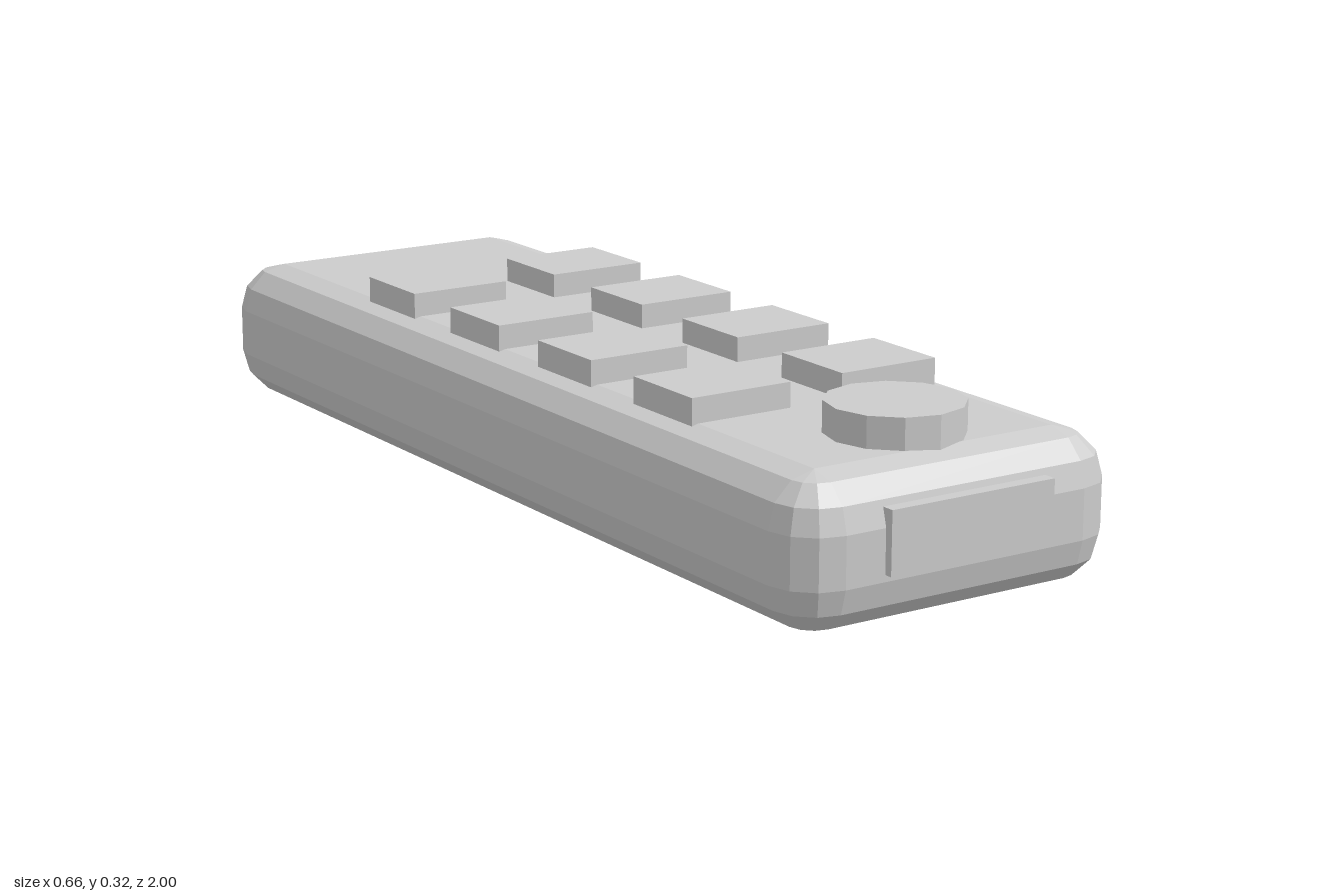
import * as THREE from 'three';
import { ConvexGeometry } from 'three/addons/geometries/ConvexGeometry.js';

// Faceted rounded block: the hull of a coarse sphere octant at each corner
function roundedBlock(w, h, d, r, steps) {
  const points = [];
  for (const sx of [-1, 1]) for (const sy of [-1, 1]) for (const sz of [-1, 1]) {
    for (let j = 0; j <= steps; j++) {
      const lat = (j / steps) * Math.PI / 2;
      const count = j === steps ? 0 : steps; // a single point at the pole
      for (let i = 0; i <= count; i++) {
        const lon = (i / steps) * Math.PI / 2;
        points.push(new THREE.Vector3(
          sx * (w / 2 - r + r * Math.cos(lat) * Math.cos(lon)),
          sy * (h / 2 - r + r * Math.sin(lat)),
          sz * (d / 2 - r + r * Math.cos(lat) * Math.sin(lon))));
      }
    }
  }
  return new ConvexGeometry(points);
}

export function createModel() {
  const group = new THREE.Group();
  const plastic = new THREE.MeshStandardMaterial({ color: 0xcccccc, flatShading: true });
  plastic.name = 'greyPlastic';

  const add = (name, geometry, x, y, z) => {
    const mesh = new THREE.Mesh(geometry, plastic);
    mesh.name = name;
    mesh.position.set(x, y, z);
    group.add(mesh);
  };

  // Handset body
  const top = 0.265, back = -1, front = 0.985;
  add('body', roundedBlock(0.66, top, front - back, 0.088, 3), 0, top / 2, (front + back) / 2);

  // Emitter window on the front end
  add('emitterWindow', new THREE.BoxGeometry(0.33, 0.11, 0.03), 0, 0.155, 0.985);

  // Round power button
  add('powerButton', new THREE.CylinderGeometry(0.12, 0.12, 0.065, 12), 0, 0.2875, 0.79);

  // Two columns of four square buttons
  const button = new THREE.BoxGeometry(0.2, 0.055, 0.175);
  for (let row = 0; row < 4; row++) {
    for (const side of [-1, 1]) {
      add(`${side > 0 ? 'left' : 'right'}Button${row + 1}`, button, side * 0.154, 0.2825, 0.486 - row * 0.309);
    }
  }
  return group;
}
